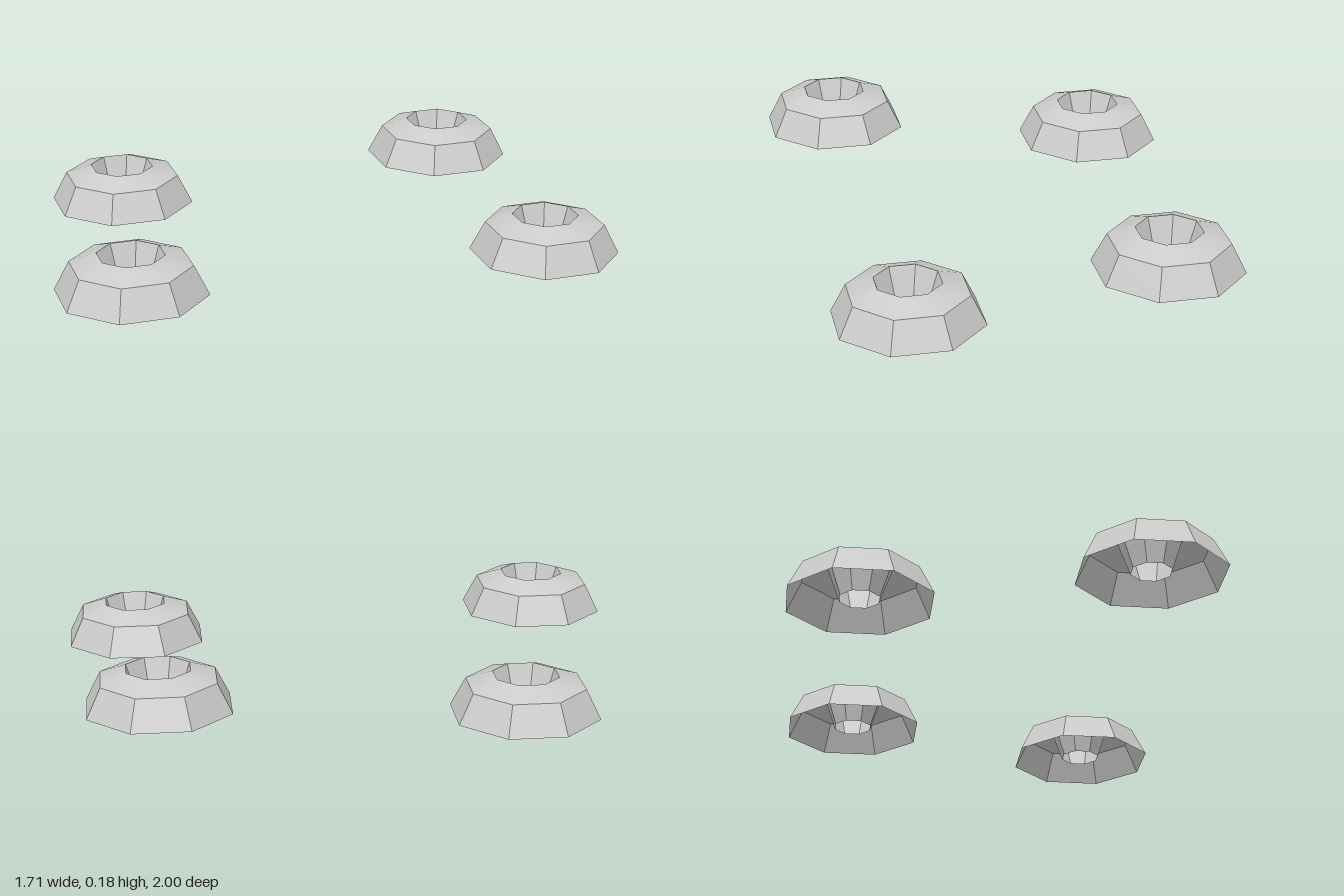
import * as THREE from 'three';
import { toCreasedNormals } from 'three/addons/utils/BufferGeometryUtils.js';

// Octagonal shell: sloped wall, shallow top, funnel-shaped hole; open underneath
const PROFILE = [
  [0.238, 0],
  [0.19, 0.094],
  [0.105, 0.125],
  [0.065, 0.01],
];

// Centre of each ring's base
const PLACES = [
  [-0.617, 0, 0.265],
  [0.113, 0.05, 0.76],
  [0.615, 0, -0.505],
  [-0.157, 0.055, -0.762],
];

export function createModel() {
  const group = new THREE.Group();
  group.name = 'octagonalRings';
  const points = PROFILE.map(([r, y]) => new THREE.Vector2(r, y));
  // Walls stay faceted, the shallow top shades smoothly
  const geometry = toCreasedNormals(new THREE.LatheGeometry(points, 8), 0.45);
  const material = new THREE.MeshStandardMaterial({ color: 0xcccccc, side: THREE.DoubleSide });

  PLACES.forEach((place, i) => {
    const ring = new THREE.Mesh(geometry, material);
    ring.name = `ring${i + 1}`;
    ring.position.set(...place);
    group.add(ring);
  });
  return group;
}
